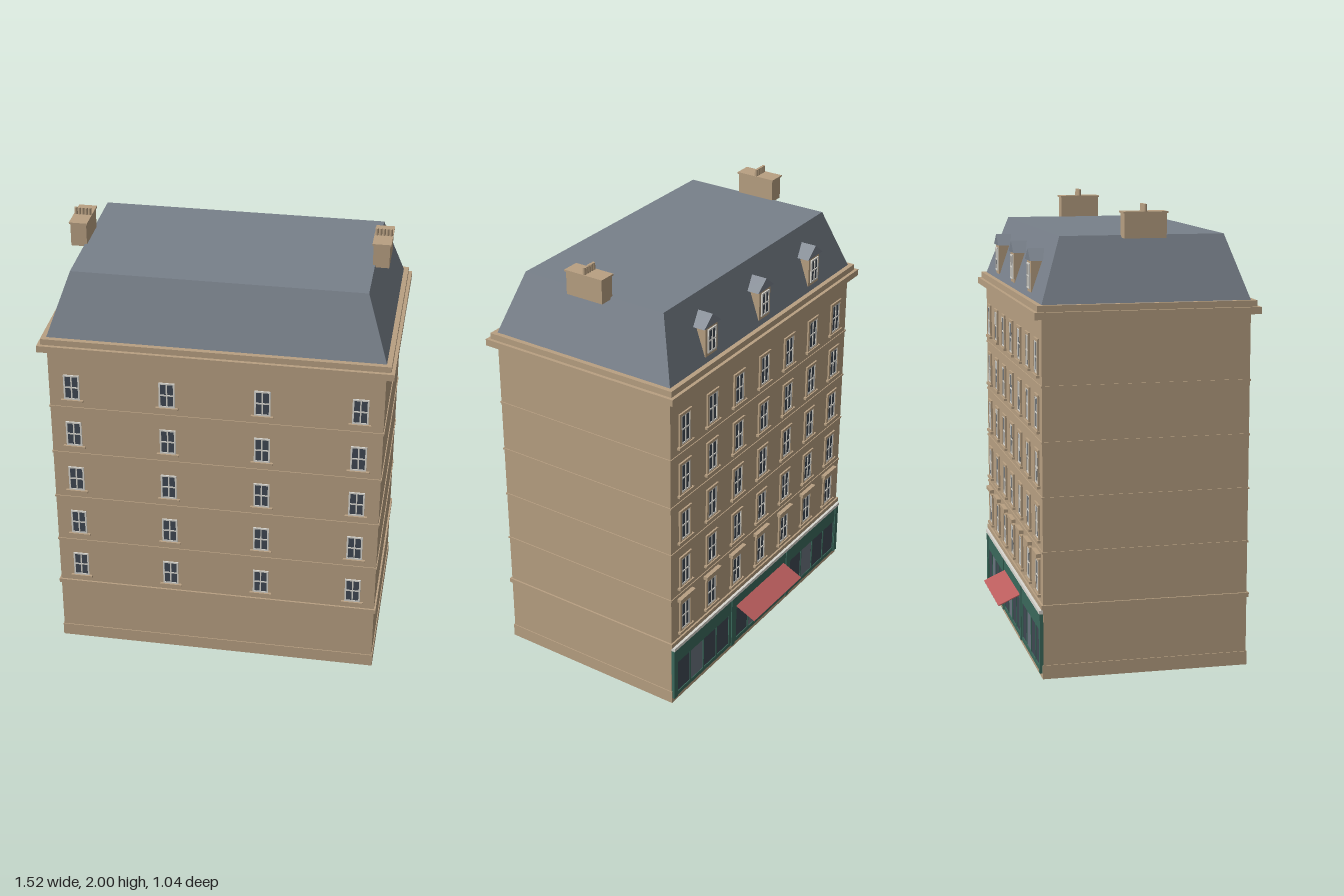
import * as THREE from 'three';

const mat = (name, color, side = THREE.FrontSide) => {
  const m = new THREE.MeshStandardMaterial({ color, side });
  m.name = name;
  return m;
};

export function createModel() {
  const stone = mat('stone', 0xb8a082);
  const slate = mat('slate', 0x78808a);
  const glass = mat('glass', 0x3f4853);
  const white = mat('white paint', 0xd9d7d0);
  const green = mat('green shopfront', 0x3b695c);
  const doorGlass = mat('door glass', 0x69737e);
  const red = mat('red awning', 0xbb5d5d, THREE.DoubleSide);

  const model = new THREE.Group();
  model.name = 'townBuilding';
  const X = 0.725, BACK = -0.413, FRONT = 0.483;
  const ZC = (FRONT + BACK) / 2, DEPTH = FRONT - BACK;

  const add = (parent, name, geo, material, x = 0, y = 0, z = 0) => {
    const mesh = new THREE.Mesh(geo, material);
    mesh.name = name;
    mesh.position.set(x, y, z);
    parent.add(mesh);
    return mesh;
  };
  // box given by centre x, bottom y, back z
  const box = (parent, name, material, w, h, d, x, y, z) =>
    add(parent, name, new THREE.BoxGeometry(w, h, d), material, x, y + h / 2, z + d / 2);
  // ring around the whole building, projecting by e
  const ring = (name, e, y0, y1) =>
    box(model, name, stone, 2 * (X + e), y1 - y0, DEPTH + 2 * e, 0, y0, BACK - e);
  // flat panel with a grid of openings and a rim of its own width
  const grid = (w, h, cols, rows, rim, bar, depth) => {
    const s = new THREE.Shape([[-1, -1], [1, -1], [1, 1], [-1, 1]]
      .map(([a, b]) => new THREE.Vector2(a * w / 2, b * h / 2)));
    const pw = (w - 2 * rim - (cols - 1) * bar) / cols;
    const ph = (h - 2 * rim - (rows - 1) * bar) / rows;
    for (let i = 0; i < cols; i++) for (let j = 0; j < rows; j++) {
      const x = -w / 2 + rim + i * (pw + bar), y = -h / 2 + rim + j * (ph + bar);
      s.holes.push(new THREE.Path([
        new THREE.Vector2(x, y), new THREE.Vector2(x, y + ph),
        new THREE.Vector2(x + pw, y + ph), new THREE.Vector2(x + pw, y)]));
    }
    return new THREE.ExtrudeGeometry(s, { depth, bevelEnabled: false });
  };

  // walls, plinth, floor bands and cornice
  ring('walls', 0, 0, 1.56);
  ring('plinth', 0.004, 0, 0.06);
  ring('shopBand', 0.008, 0.305, 0.325);
  for (let i = 0; i < 4; i++) ring('floorBand', 0.004, 0.548 + i * 0.235, 0.556 + i * 0.235);
  ring('lowerCornice', 0.036, 1.54, 1.57);
  ring('upperCornice', 0.021, 1.57, 1.597);

  // mansard roof: a box drawn in at the top
  const roofGeo = new THREE.BoxGeometry(2 * X, 0.275, DEPTH);
  const p = roofGeo.attributes.position;
  for (let i = 0; i < p.count; i++) if (p.getY(i) > 0) {
    p.setX(i, Math.sign(p.getX(i)) * 0.63);
    p.setZ(i, Math.sign(p.getZ(i)) * (DEPTH / 2 - 0.095));
  }
  roofGeo.computeVertexNormals();
  add(model, 'mansardRoof', roofGeo, slate, 0, 1.7325, ZC);

  // chimneys with a row of pots
  for (const s of [-1, 1]) {
    const c = new THREE.Group();
    c.name = 'chimney';
    c.position.x = s * 0.655;
    model.add(c);
    box(c, 'chimneyStack', stone, 0.07, 0.105, 0.18, 0, 1.86, -0.056);
    box(c, 'chimneyCap', stone, 0.08, 0.008, 0.19, 0, 1.962, -0.061);
    for (let i = 0; i < 5; i++)
      add(c, 'chimneyPot', new THREE.CylinderGeometry(0.0075, 0.0085, 0.03, 10), stone,
        (i - 2) * 0.015, 1.985, 0.033);
  }

  // each facade is a group whose local z = 0 is the wall face
  const frontFacade = new THREE.Group();
  frontFacade.name = 'frontFacade';
  frontFacade.position.z = FRONT;
  const backFacade = new THREE.Group();
  backFacade.name = 'backFacade';
  backFacade.position.z = BACK;
  backFacade.rotation.y = Math.PI;
  model.add(frontFacade, backFacade);

  const addWindow = (parent, x, y, w, h, z = 0) => {
    const g = new THREE.Group();
    g.name = 'window';
    g.position.set(x, y + h / 2, z);
    parent.add(g);
    add(g, 'windowGlass', new THREE.BoxGeometry(w - 0.004, h - 0.004, 0.004), glass, 0, 0, 0.001);
    add(g, 'windowFrame', grid(w, h, 2, 2, 0.007, 0.006, 0.006), white);
    return g;
  };

  for (let row = 0; row < 5; row++) {
    const y = 0.235 * row;
    // front windows
    for (const x of [-0.625, -0.207, 0.207, 0.625]) {
      addWindow(frontFacade, x, 0.36 + y, 0.07, 0.12);
      box(frontFacade, 'windowSill', stone, 0.098, 0.01, 0.012, x, 0.349 + y, 0);
    }
    // back windows with stone surrounds, hooded on the first floor
    for (let i = -3; i <= 3; i++) {
      const x = i * 0.207;
      addWindow(backFacade, x, 0.36 + y, 0.066, 0.138);
      add(backFacade, 'windowSurround', grid(0.09, 0.16, 1, 1, 0.012, 0, 0.008), stone, x, 0.429 + y, 0);
      box(backFacade, 'windowSill', stone, 0.11, 0.011, 0.014, x, 0.346 + y, 0);
      if (row === 0) box(backFacade, 'windowHood', stone, 0.115, 0.016, 0.02, x, 0.52, 0);
    }
  }

  // shopfront in three bays
  const shop = new THREE.Group();
  shop.name = 'shopfront';
  backFacade.add(shop);
  box(shop, 'shopCornice', white, 1.45, 0.016, 0.018, 0, 0.286, 0);
  for (let b = -1; b <= 1; b++) {
    const x = b * 0.483;
    box(shop, 'shopFascia', green, 0.46, 0.064, 0.01, x, 0.222, 0);
    box(shop, 'shopGlass', glass, 0.44, 0.19, 0.006, x, 0.035, 0);
    add(shop, 'shopFrame', grid(0.46, 0.2, 4, 1, 0.02, 0.007, 0.01), green, x, 0.125, 0);
    box(shop, 'shopDoor', doorGlass, 0.095, 0.16, 0.007, x - 0.054, 0.045, 0);
  }
  for (let b = 0; b < 4; b++)
    box(shop, 'shopPilaster', green, 0.026, 0.262, 0.015, [-0.711, -0.2415, 0.2415, 0.711][b], 0.024, 0);
  // sloping awning over the middle bay
  const awning = box(shop, 'awning', red, 0.42, 0.004, 0.112, 0, 0.2, 0.002);
  awning.rotation.x = 0.43;

  // gabled dormers on the back slope
  const gable = new THREE.Shape([
    new THREE.Vector2(-0.063, 1.755), new THREE.Vector2(0.063, 1.755), new THREE.Vector2(0, 1.805)]);
  for (const x of [-0.415, 0, 0.415]) {
    const d = new THREE.Group();
    d.name = 'dormer';
    d.position.x = x;
    backFacade.add(d);
    box(d, 'dormerWalls', stone, 0.088, 0.137, 0.05, 0, 1.62, -0.056);
    add(d, 'dormerRoof', new THREE.ExtrudeGeometry(gable, { depth: 0.076, bevelEnabled: false }),
      slate, 0, 0, -0.076);
    addWindow(d, 0, 1.635, 0.06, 0.108, -0.006);
  }
  return model;
}
